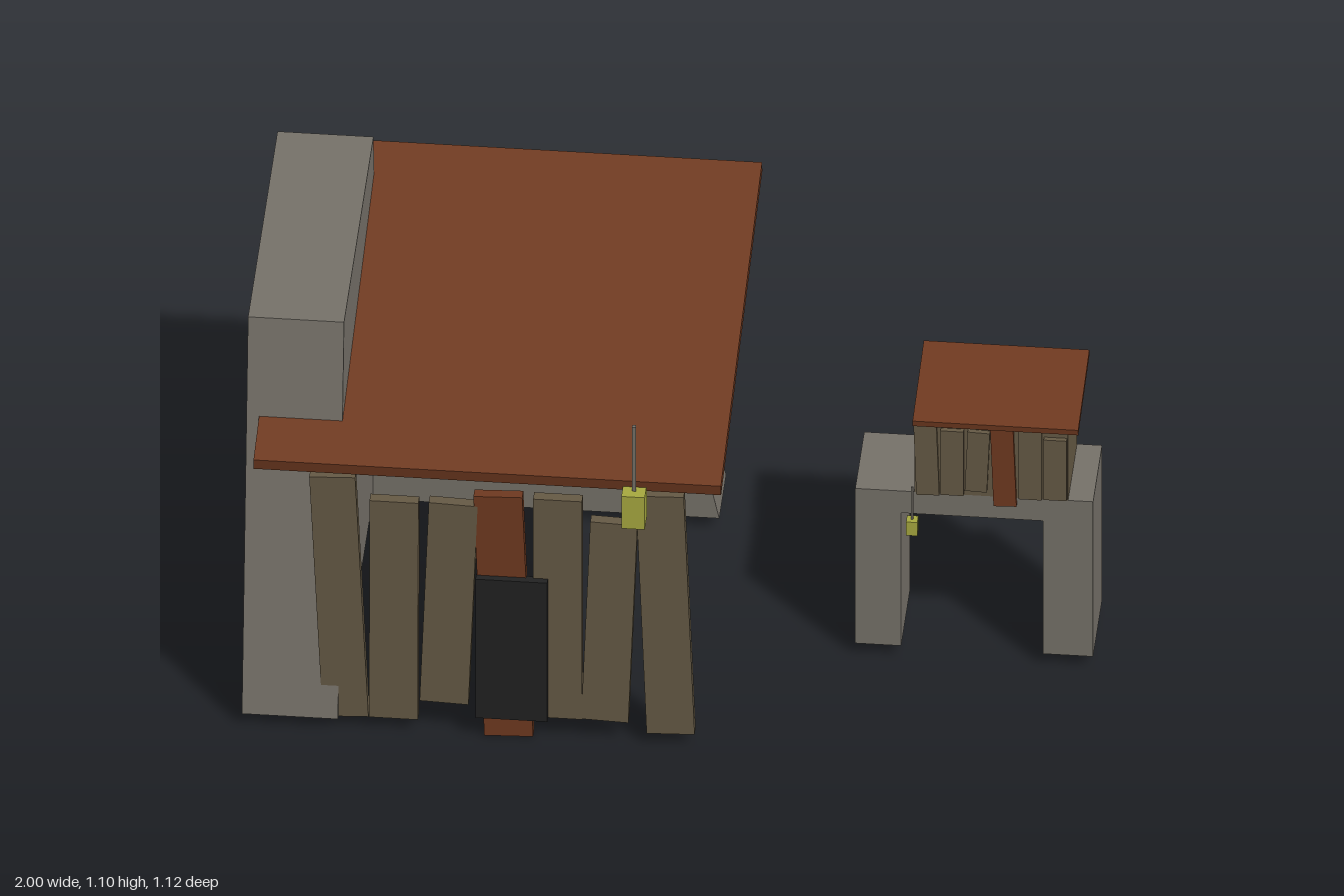
import * as THREE from 'three';

const mat = (name, color) => {
  const m = new THREE.MeshStandardMaterial({ color });
  m.name = name;
  return m;
};

export function createModel() {
  const root = new THREE.Group();
  root.name = 'shackAndArch';
  const stone = mat('stone', 0x77726a);
  const rust = mat('rust', 0x703a20);
  const wood = mat('wood', 0x665a45);
  const black = mat('black', 0x222222);
  const glow = mat('lanternYellow', 0xa8aa40);

  const add = (parent, name, geometry, material) => {
    const mesh = new THREE.Mesh(geometry, material);
    mesh.name = name;
    parent.add(mesh);
    return mesh;
  };
  // Box given by its minimum and maximum corners
  const block = (parent, name, material, [x0, y0, z0], [x1, y1, z1]) => {
    const mesh = add(parent, name, new THREE.BoxGeometry(x1 - x0, y1 - y0, z1 - z0), material);
    mesh.position.set((x0 + x1) / 2, (y0 + y1) / 2, (z0 + z1) / 2);
    return mesh;
  };
  // Flat outline pushed out along +z
  const slab = (points, depth) => new THREE.ExtrudeGeometry(
    new THREE.Shape(points.map(([x, y]) => new THREE.Vector2(x, y))),
    { depth, bevelEnabled: false });
  // Leaning plank running from a bottom centre to a top centre
  const plank = (parent, material, [xb, yb, xt, yt, width], z, depth) => {
    const dx = xt - xb, dy = yt - yb;
    const mesh = add(parent, 'plank', new THREE.BoxGeometry(width, Math.hypot(dx, dy), depth), material);
    mesh.position.set((xb + xt) / 2, (yb + yt) / 2, z);
    mesh.rotation.z = -Math.atan2(dx, dy);
  };
  const roof = (parent, x0, x1, y, z, thick, length, tilt) => {
    const mesh = add(parent, 'roof', new THREE.BoxGeometry(x1 - x0, thick, length), rust);
    mesh.position.set((x0 + x1) / 2, y, z);
    mesh.rotation.x = tilt;
  };
  // Hanging lantern with its rod
  const lantern = (parent, x, z, y0, y1, width, rodTop, rodWidth) => {
    const g = new THREE.Group();
    g.name = 'lantern';
    parent.add(g);
    const h = width / 2, r = rodWidth / 2;
    block(g, 'lanternBox', glow, [x - h, y0, z - h], [x + h, y1, z + h]);
    block(g, 'lanternRod', stone, [x - r, y1, z - r], [x + r, rodTop, z + r]);
  };

  // ---- Large shack ----
  const shack = new THREE.Group();
  shack.name = 'shack';
  root.add(shack);

  // Side wall: profile tapers in z, constant thickness in x
  const side = add(shack, 'sideWall',
    slab([[-0.5, 0.035], [0.56, 0.035], [0.4, 1.1], [-0.345, 1.1]], 0.23), stone);
  side.rotation.y = Math.PI / 2;
  side.position.x = -1;

  // Back wall: tapers in x, constant thickness in z
  const back = add(shack, 'backWall',
    slab([[-0.88, 0.035], [0.06, 0.035], [-0.13, 0.92], [-0.69, 0.92]], 0.175), stone);
  back.position.z = -0.56;

  roof(shack, -0.97, 0.15, 0.89, 0, 0.031, 1.06, 0.182);

  // Front planks: bottom x, bottom y, top x, top y, width
  const planks = [
    [-0.753, 0.035, -0.785, 0.743, 0.11],
    [-0.638, 0.037, -0.637, 0.68, 0.117],
    [-0.517, 0.092, -0.495, 0.682, 0.117],
    [-0.362, 0.004, -0.388, 0.712, 0.117],
    [-0.245, 0.065, -0.245, 0.712, 0.117],
    [-0.132, 0.065, -0.11, 0.652, 0.113],
    [0.026, 0.037, 0, 0.74, 0.115],
  ];
  planks.forEach((p, i) => plank(shack, i === 3 ? rust : wood, p, 0.473, 0.028));

  block(shack, 'door', black, [-0.44, 0.065, 0.48], [-0.268, 0.477, 0.504]);
  lantern(shack, -0.057, 0.533, 0.695, 0.79, 0.056, 0.98, 0.009);

  // ---- Small hut on a stone arch ----
  const hut = new THREE.Group();
  hut.name = 'archHut';
  root.add(hut);

  const arch = add(hut, 'arch', slab([
    [0.43, 0.035], [0.54, 0.035], [0.54, 0.43], [0.88, 0.43],
    [0.88, 0.035], [1, 0.035], [1, 0.495], [0.43, 0.495],
  ], 0.227), stone);
  arch.position.z = -0.146;

  block(hut, 'hutBody', wood, [0.572, 0.495, -0.144], [0.94, 0.716, 0.082]);
  roof(hut, 0.57, 0.967, 0.733, -0.033, 0.016, 0.285, 0.105);

  const smallPlanks = [
    [0.605, 0.497, 0.598, 0.712, 0.055],
    [0.663, 0.5, 0.663, 0.69, 0.055],
    [0.72, 0.515, 0.727, 0.69, 0.053],
    [0.79, 0.476, 0.782, 0.702, 0.055],
    [0.85, 0.5, 0.85, 0.702, 0.056],
    [0.91, 0.502, 0.91, 0.68, 0.055],
  ];
  smallPlanks.forEach((p, i) => plank(hut, i === 3 ? rust : wood, p, 0.088, 0.012));
  lantern(hut, 0.568, 0.096, 0.385, 0.425, 0.027, 0.52, 0.005);

  return root;
}
